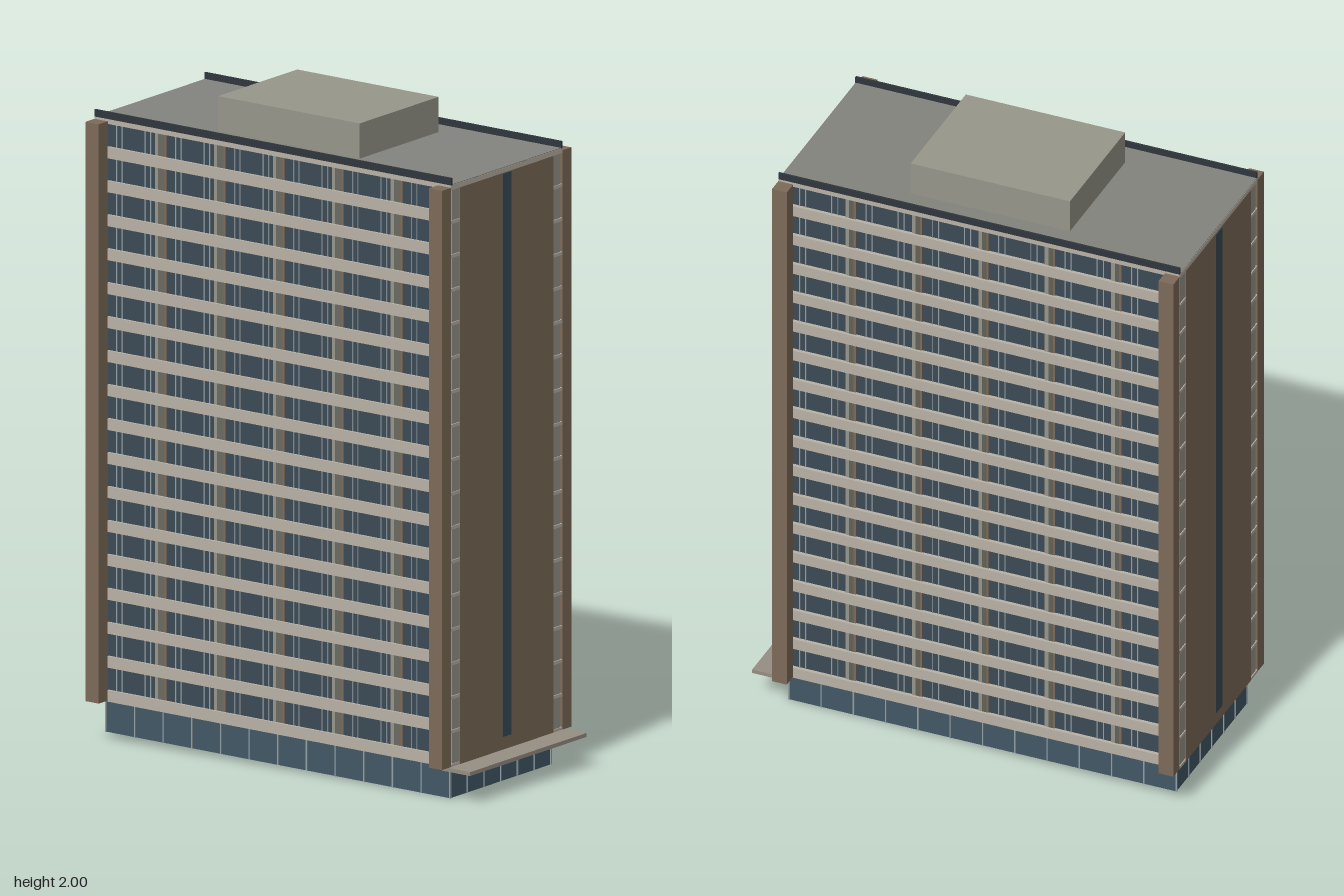
import * as THREE from 'three';
import { mergeGeometries } from 'three/addons/utils/BufferGeometryUtils.js';

const FLOORS = 17, STEP = 0.1033, BOTTOM = 0.114;
const TOP = BOTTOM + FLOORS * STEP;
const BAYS = 6, BAY = 0.215;
const CORE = 0.235, EDGE = 0.28, END = 0.65; // half sizes: inner wall, balcony edge, end wall

const material = (color, side = THREE.FrontSide) => new THREE.MeshStandardMaterial({ color, side });

// Turned on its plot, with a slight fall of the levels towards the front
const placement = new THREE.Matrix4()
  .set(1, 0, 0, 0, 0, 1, -0.018, 0, 0, 0, 1, 0, 0, 0, 0, 1)
  .multiply(new THREE.Matrix4().makeTranslation(0, 0, -0.04))
  .multiply(new THREE.Matrix4().makeRotationY(THREE.MathUtils.degToRad(13.6)));

// Box given by its limits on each axis
function box(x0, x1, y0, y1, z0, z1) {
  return new THREE.BoxGeometry(Math.abs(x1 - x0), y1 - y0, Math.abs(z1 - z0))
    .translate((x0 + x1) / 2, (y0 + y1) / 2, (z0 + z1) / 2);
}

export function createModel() {
  const model = new THREE.Group();
  model.name = 'towerBlock';

  const brown = material(0x7d6a58);
  const concrete = material(0xb8b1a5);
  const grey = material(0x96968a);
  const glass = material(0x3b4a55);
  const shopGlass = material(0x415765, THREE.DoubleSide);
  const frame = material(0x93a0a6);
  const dark = material(0x2f363d);
  const roofGrey = material(0x83837e);
  const tan = material(0x968e83);

  const add = (name, mat, parts) => {
    const mesh = new THREE.Mesh(mergeGeometries(parts).applyMatrix4(placement), mat);
    mesh.name = name;
    model.add(mesh);
  };

  // Main body with its blank end walls, and the underside of the balconies
  add('endWalls', brown, [box(-CORE, CORE, BOTTOM, TOP, -END, END)]);

  const fins = [], strips = [], windows = [], piers = [], mullions = [];
  const slabs = [], parapets = [], partitions = [], roofEdges = [];

  for (const s of [-1, 1]) {
    // Dark window strip up the middle of each end wall
    strips.push(box(-0.022, 0.022, 0.155, TOP - 0.002, s * (END - 0.01), s * (END + 0.002)));
    // Corner fins
    for (const e of [-1, 1]) {
      fins.push(box(s * EDGE, s * 0.326, BOTTOM + 0.002, 1.878, e * 0.602, e * END));
    }
    // Long window wall
    windows.push(box(s * (CORE - 0.01), s * (CORE + 0.002), BOTTOM, TOP, -0.64, 0.64));
    // Upstand along each roof edge
    roofEdges.push(box(s * (EDGE - 0.006), s * EDGE, 1.885, 1.907, -END, END));

    for (let f = 0; f < FLOORS; f++) {
      const y = BOTTOM + f * STEP;
      slabs.push(box(s * CORE, s * EDGE, y, y + 0.01, -END, END));
      parapets.push(box(s * (EDGE - 0.007), s * (EDGE + 0.001), y - 0.001, y + 0.034, -0.603, 0.603));
      // Walls between balconies; the outermost close the ends
      for (let b = 0; b <= BAYS; b++) {
        const z = THREE.MathUtils.clamp((b - BAYS / 2) * BAY, -0.641, 0.641);
        partitions.push(box(s * CORE, s * (EDGE - 0.008), y + 0.01, y + STEP, z - 0.006, z + 0.006));
        if (b > 0 && b < BAYS) piers.push(box(s * CORE, s * (CORE + 0.005), y + 0.01, y + STEP, z - 0.013, z + 0.013));
      }
      // Window frames, two pairs to a bay
      for (let b = 0; b < BAYS; b++) {
        const mid = (b - (BAYS - 1) / 2) * BAY;
        for (const dz of [-0.062, -0.042, 0.042, 0.062]) {
          const z = mid + dz;
          mullions.push(box(s * CORE, s * (CORE + 0.005), y + 0.01, y + 0.09, z - 0.0015, z + 0.0015));
        }
      }
    }
  }
  add('cornerFins', brown, fins);
  add('endWindowStrips', glass, strips);
  add('windowWalls', glass, windows);
  add('windowPiers', brown, piers);
  add('windowFrames', frame, mullions);
  add('balconySlabs', concrete, slabs);
  add('balconyParapets', concrete, parapets);
  add('balconyPartitions', grey, partitions);

  // Roof slab, upstands and plant room
  add('roofSlab', concrete, [box(-EDGE, EDGE, TOP, 1.885, -END, END)]);
  add('roofSurface', roofGrey, [box(-0.274, 0.274, 1.884, 1.887, -END + 0.001, END - 0.001)]);
  add('roofUpstands', dark, roofEdges);
  add('plantRoom', grey, [box(-0.199, 0.199, 1.885, 1.994, -0.258, 0.258)]);

  // Glazed ground floor, open underneath
  const bw = 0.253, bl = 0.627, y0 = 0.012, h = BOTTOM - y0;
  const walls = [], posts = [];
  for (let i = 0; i < 4; i++) {
    const [half, out] = i % 2 ? [bl, bw] : [bw, bl];
    const count = i % 2 ? 12 : 6;
    const turn = i * Math.PI / 2;
    walls.push(new THREE.PlaneGeometry(half * 2, h).translate(0, y0 + h / 2, out).rotateY(turn));
    for (let p = 0; p <= count; p++) {
      const x = -half + 2 * half * p / count;
      posts.push(box(x - 0.002, x + 0.002, y0, BOTTOM, out - 0.002, out + 0.003).rotateY(turn));
    }
  }
  add('groundFloorGlazing', shopGlass, walls);
  add('groundFloorPosts', frame, posts);

  // Entrance canopy across the front
  add('entranceCanopy', tan, [box(-0.293, 0.293, 0.104, 0.116, bl, 0.729)]);

  return model;
}
